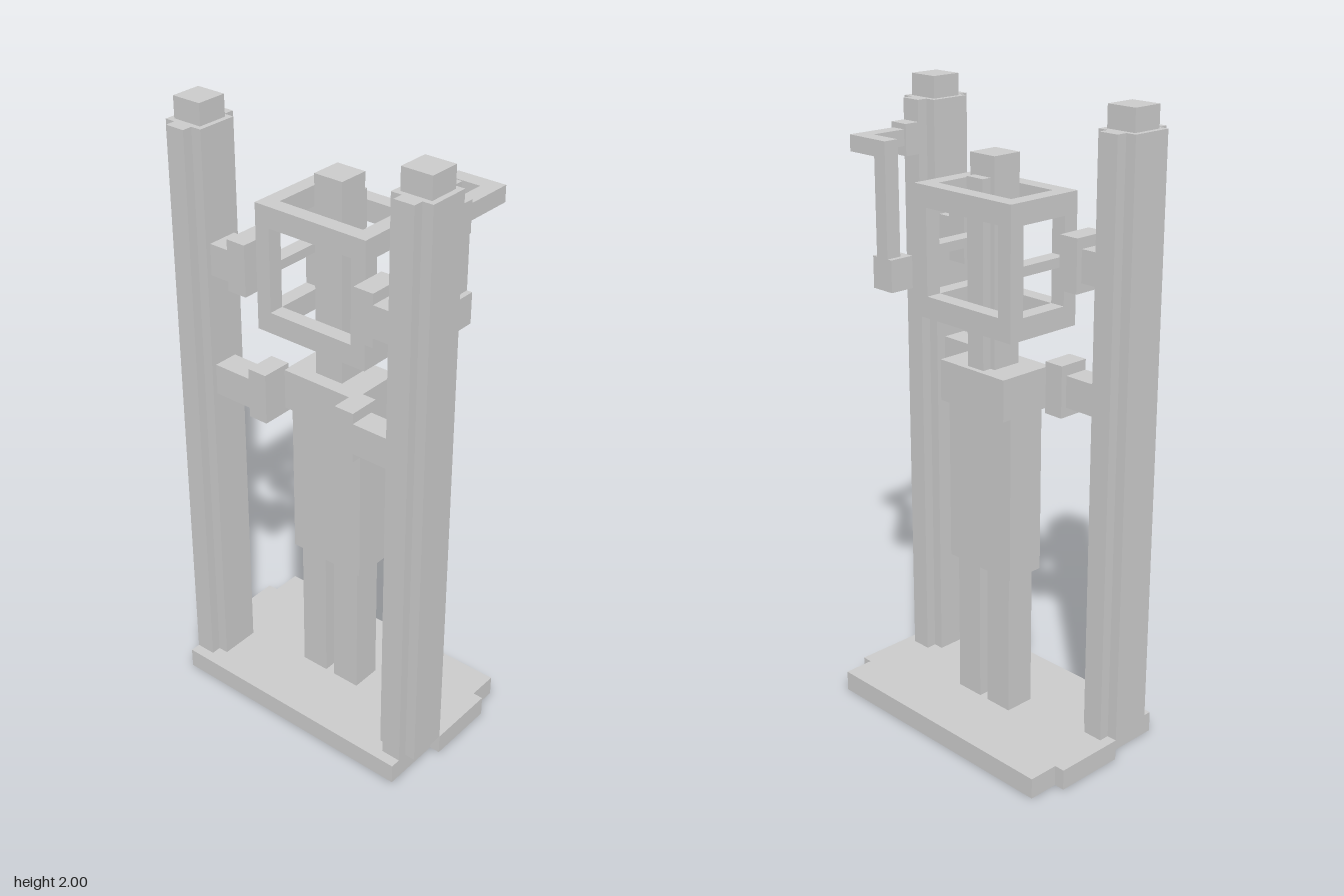
import * as THREE from 'three';

const material = new THREE.MeshStandardMaterial({ color: 0xcccccc, flatShading: true });

export function createModel() {
  const model = new THREE.Group();

  // Box from its two extents along each axis
  const box = (parent, name, [x0, x1], [y0, y1], [z0, z1]) => {
    const mesh = new THREE.Mesh(new THREE.BoxGeometry(x1 - x0, y1 - y0, z1 - z0), material);
    mesh.position.set((x0 + x1) / 2, (y0 + y1) / 2, (z0 + z1) / 2);
    mesh.name = name;
    parent.add(mesh);
  };
  const group = (name) => {
    const g = new THREE.Group();
    g.name = name;
    model.add(g);
    return g;
  };
  // Mirrored pair of boxes, given on the +x side
  const pair = (parent, name, [x0, x1], y, z) => {
    box(parent, name + 'Left', [x0, x1], y, z);
    box(parent, name + 'Right', [-x1, -x0], y, z);
  };

  // Base: notched outline, hollow underneath
  const base = group('base');
  const right = [[0.433, 0.267], [0.433, 0.067], [0.467, 0.067], [0.467, -0.167], [0.433, -0.167], [0.433, -0.267]];
  const left = right.map(([x, z]) => [-x, z]).reverse();
  const outline = () => new THREE.Shape([...right, ...left].map(([x, z]) => new THREE.Vector2(x, -z)));
  const slab = (name, shape, y, height) => {
    const geometry = new THREE.ExtrudeGeometry(shape, { depth: height, bevelEnabled: false });
    geometry.rotateX(-Math.PI / 2).translate(0, y, 0);
    const mesh = new THREE.Mesh(geometry, material);
    mesh.name = name;
    base.add(mesh);
  };
  const rim = outline();
  rim.holes.push(new THREE.Path([[-0.4, -0.233], [-0.4, 0.233], [0.4, 0.233], [0.4, -0.233]]
    .map(([x, y]) => new THREE.Vector2(x, y))));
  slab('baseRim', rim, 0, 0.034);
  slab('basePlate', outline(), 0.034, 0.033);

  // Pillars with a cross-shaped section and a cap
  const pillars = group('pillars');
  pair(pillars, 'pillar', [0.333, 0.467], [0.067, 1.933], [0.067, 0.2]);
  pair(pillars, 'pillarRibFront', [0.367, 0.433], [0.067, 1.933], [0.2, 0.233]);
  pair(pillars, 'pillarRibBack', [0.367, 0.433], [0.067, 1.933], [0.033, 0.067]);
  pair(pillars, 'pillarCap', [0.35, 0.45], [1.933, 2], [0.083, 0.183]);

  // Central figure: legs, torso, shoulders and neck post
  const figure = group('figure');
  pair(figure, 'leg', [0.017, 0.113], [0.067, 0.54], [-0.05, 0.05]);
  box(figure, 'torso', [-0.133, 0.133], [0.54, 1.07], [-0.065, 0.065]);
  box(figure, 'shoulders', [-0.135, 0.135], [1.07, 1.2], [-0.097, 0.097]);
  box(figure, 'neckPost', [-0.05, 0.05], [1.2, 1.833], [-0.05, 0.05]);
  box(figure, 'neckSpine', [-0.033, 0.033], [1.2, 1.77], [-0.08, -0.05]);

  // Open cage around the neck post
  const cage = group('cage');
  for (const [y0, y1] of [[1.333, 1.4], [1.667, 1.733]]) {
    box(cage, 'cageRailFront', [-0.2, 0.2], [y0, y1], [0.083, 0.133]);
    box(cage, 'cageRailBack', [-0.2, 0.2], [y0, y1], [-0.133, -0.083]);
    pair(cage, 'cageRailSide', [0.15, 0.2], [y0, y1], [-0.083, 0.083]);
  }
  pair(cage, 'cagePostFront', [0.15, 0.2], [1.4, 1.667], [0.083, 0.133]);
  pair(cage, 'cagePostBack', [0.15, 0.2], [1.4, 1.667], [-0.133, -0.083]);
  pair(cage, 'cageMiddleRail', [0.15, 0.2], [1.52, 1.55], [-0.083, 0.083]);

  // Clamps from the pillars to the cage and the shoulders
  const clamps = group('clamps');
  pair(clamps, 'upperClampArm', [0.267, 0.333], [1.483, 1.583], [0.083, 0.183]);
  pair(clamps, 'upperClampPad', [0.2, 0.267], [1.453, 1.617], [0.063, 0.183]);
  pair(clamps, 'lowerClampArm', [0.2, 0.333], [1.083, 1.183], [0.1, 0.183]);
  pair(clamps, 'lowerClampPad', [0.133, 0.2], [1.053, 1.217], [0.08, 0.183]);

  // Hanging arm behind the left pillar
  const hook = group('hangingArm');
  box(hook, 'armMount', [0.367, 0.433], [1.77, 1.867], [-0.017, 0.033]);
  box(hook, 'armBeam', [0.375, 0.425], [1.8, 1.85], [-0.135, -0.017]);
  box(hook, 'armCrossBeam', [0.267, 0.425], [1.8, 1.85], [-0.185, -0.135]);
  box(hook, 'armDrop', [0.267, 0.315], [1.5, 1.8], [-0.185, -0.135]);
  box(hook, 'armWeight', [0.25, 0.333], [1.4, 1.5], [-0.185, -0.103]);

  return model;
}
